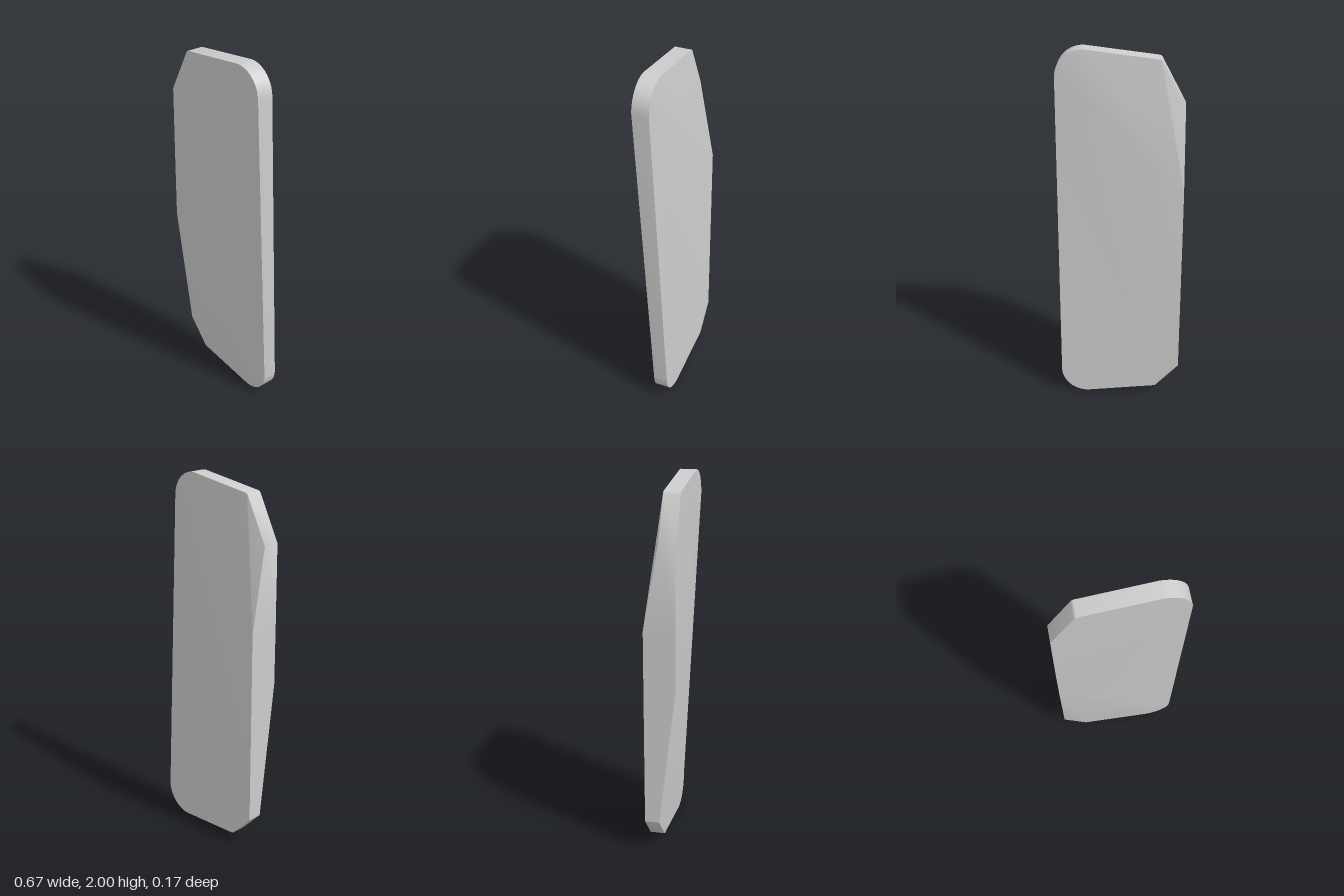
import * as THREE from 'three';
import { mergeGeometries, toCreasedNormals } from 'three/addons/utils/BufferGeometryUtils.js';

const HALF = 0.084;   // half of the overall depth
const INNER = -0.005; // depth where each face tapers towards its end

// Rounded corner, counter-clockwise between two angles in degrees
function corner(cx, cy, r, from, to, seg) {
  return Array.from({ length: seg + 1 }, (_, i) => {
    const a = THREE.MathUtils.degToRad(from + (to - from) * i / seg);
    return [cx + r * Math.cos(a), cy + r * Math.sin(a)];
  });
}

function panelGeometry() {
  // Outline, counter-clockwise seen from the front; names mark the key indices
  const outline = [];
  const add = points => {
    const first = outline.length;
    outline.push(...points);
    return points.map((_, k) => first + k);
  };
  const [lowLeft] = add([[-0.333, 0.185]]);
  const lowCorner = add(corner(-0.193, 0.062, 0.02, 228, 264, 4));
  const lowArc = add(corner(0.188, 0.145, 0.145, -90, 0, 10));
  const highArc = add(corner(0.188, 1.855, 0.145, 0, 90, 10));
  const highCorner = add(corner(-0.193, 1.933, 0.02, 97, 150, 5));
  const [highLeft, backKink, frontKink] = add([[-0.333, 1.71], [-0.335, 1.27], [-0.335, 0.95]]);
  const lowRight = lowArc.at(-1), highRight = highArc[0];

  // The front tapers at the bottom end, the back at the top end
  const frontZ = i => (i <= lowRight ? INNER : HALF);
  const backZ = i => (i >= highRight && i <= highLeft ? INNER : -HALF);
  const geometry = (build, crease) => {
    const pos = [];
    build((i, front) => pos.push(...outline[i], front ? frontZ(i) : backZ(i)));
    const g = new THREE.BufferGeometry();
    g.setAttribute('position', new THREE.Float32BufferAttribute(pos, 3));
    return toCreasedNormals(g, crease);
  };
  const fan = (put, hub, list, front) => {
    for (let k = 0; k < list.length - 1; k++) {
      const t = [hub, list[k], list[k + 1]];
      (front ? t : t.reverse()).forEach(i => put(i, front));
    }
  };

  // Front face: lower taper, long slope on the right, flat upper part
  const front = geometry(put => {
    fan(put, frontKink, [lowLeft, ...lowCorner, ...lowArc, highRight], true);
    fan(put, frontKink, [...highArc, ...highCorner, highLeft, backKink], true);
  }, 0.25);

  // Back face: upper taper, long slopes, flat lower part
  const back = geometry(put => {
    fan(put, backKink, [...highArc, ...highCorner, highLeft], false);
    fan(put, highRight, [backKink, lowCorner.at(-1), lowRight], false);
    fan(put, backKink, [frontKink, lowLeft, ...lowCorner], false);
    fan(put, lowCorner.at(-1), lowArc, false);
  }, 0.25);

  // Rim joining the two faces
  const rim = geometry(put => {
    outline.forEach((_, i) => {
      const j = (i + 1) % outline.length;
      put(i, false); put(j, false); put(j, true);
      put(i, false); put(j, true); put(i, true);
    });
  }, 0.6);

  return mergeGeometries([front, back, rim]);
}

export function createModel() {
  const grey = new THREE.MeshStandardMaterial({ color: 0xcccccc });
  grey.name = 'plain grey';
  const panel = new THREE.Mesh(panelGeometry(), grey);
  panel.name = 'twistedPanel';
  const model = new THREE.Group();
  model.name = 'panel';
  model.add(panel);
  return model;
}
